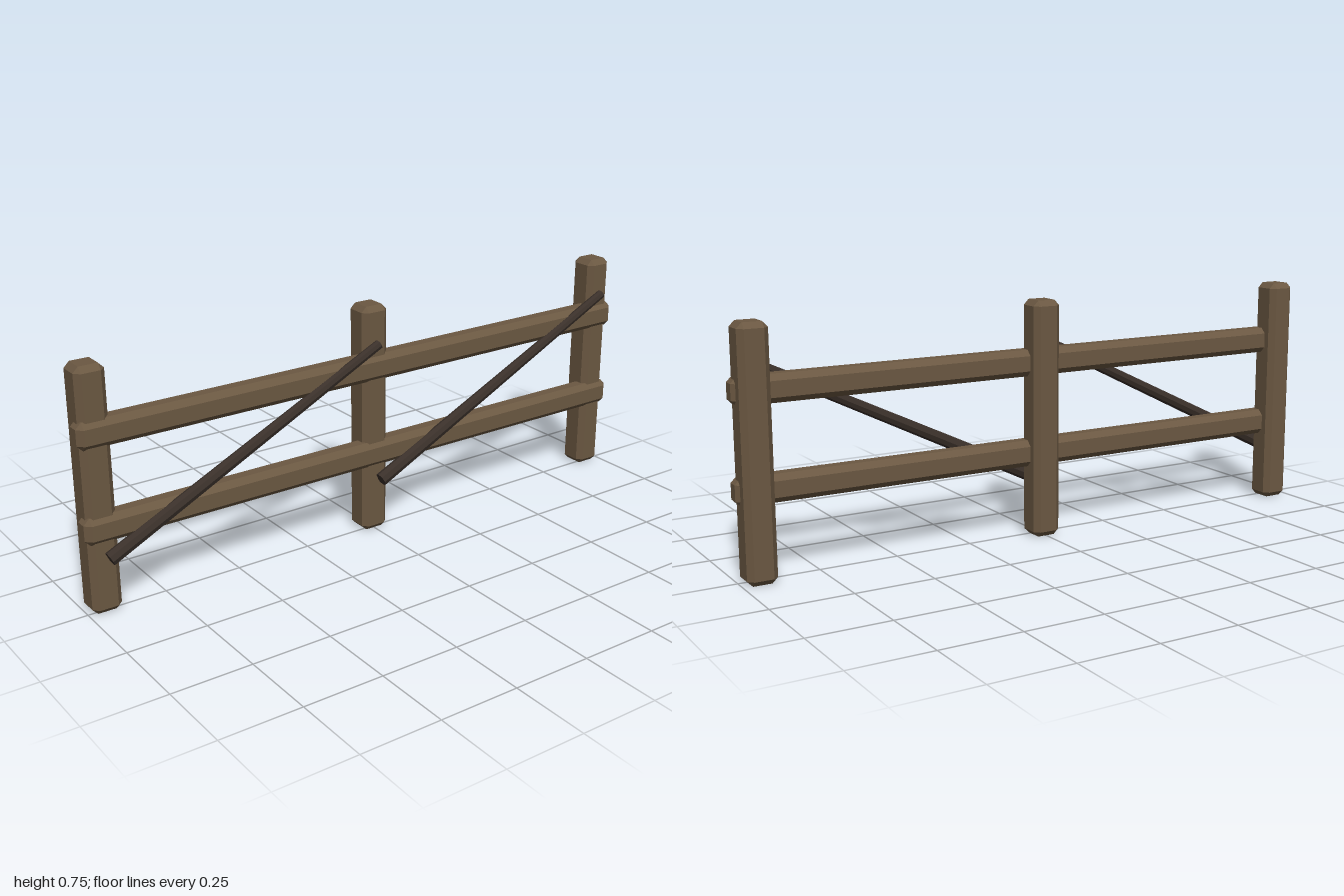
import * as THREE from 'three';
import { ConvexGeometry } from 'three/addons/geometries/ConvexGeometry.js';

const wood = new THREE.MeshStandardMaterial({ color: 0x6b5842, flatShading: true });
const darkWood = new THREE.MeshStandardMaterial({ color: 0x3a302a, flatShading: true });

// Box with every edge cut by a flat chamfer c
function chamferedBox(w, h, d, c) {
  const points = [];
  const [x, y, z] = [w / 2, h / 2, d / 2];
  for (const sx of [-1, 1]) for (const sy of [-1, 1]) for (const sz of [-1, 1]) {
    points.push(
      new THREE.Vector3(sx * x, sy * (y - c), sz * (z - c)),
      new THREE.Vector3(sx * (x - c), sy * y, sz * (z - c)),
      new THREE.Vector3(sx * (x - c), sy * (y - c), sz * z),
    );
  }
  return new ConvexGeometry(points);
}

// Thin tapered pole between two points
function pole(from, to, r0, r1) {
  const dir = to.clone().sub(from);
  const mesh = new THREE.Mesh(new THREE.CylinderGeometry(r1, r0, dir.length(), 8), darkWood);
  mesh.position.copy(from).add(to).multiplyScalar(0.5);
  mesh.quaternion.setFromUnitVectors(new THREE.Vector3(0, 1, 0), dir.normalize());
  return mesh;
}

export function createModel() {
  const fence = new THREE.Group();
  fence.name = 'fence';

  // Upright posts
  const postGeometry = chamferedBox(0.092, 0.752, 0.092, 0.017);
  for (const x of [-0.943, 0, 0.943]) {
    const post = new THREE.Mesh(postGeometry, wood);
    post.name = 'post';
    post.position.set(x, 0.376, -0.019);
    fence.add(post);
  }

  // Horizontal rails let into the front of the posts
  const railGeometry = chamferedBox(2, 0.084, 0.07, 0.018);
  for (const y of [0.267, 0.555]) {
    const rail = new THREE.Mesh(railGeometry, wood);
    rail.name = 'rail';
    rail.position.set(0, y, 0.005);
    fence.add(rail);
  }

  // Diagonal braces across each bay
  for (const x of [-0.938, 0.004]) {
    const brace = pole(
      new THREE.Vector3(x, 0.18, 0.044),
      new THREE.Vector3(x + 0.936, 0.636, 0.041),
      0.022, 0.015,
    );
    brace.name = 'brace';
    fence.add(brace);
  }
  return fence;
}
